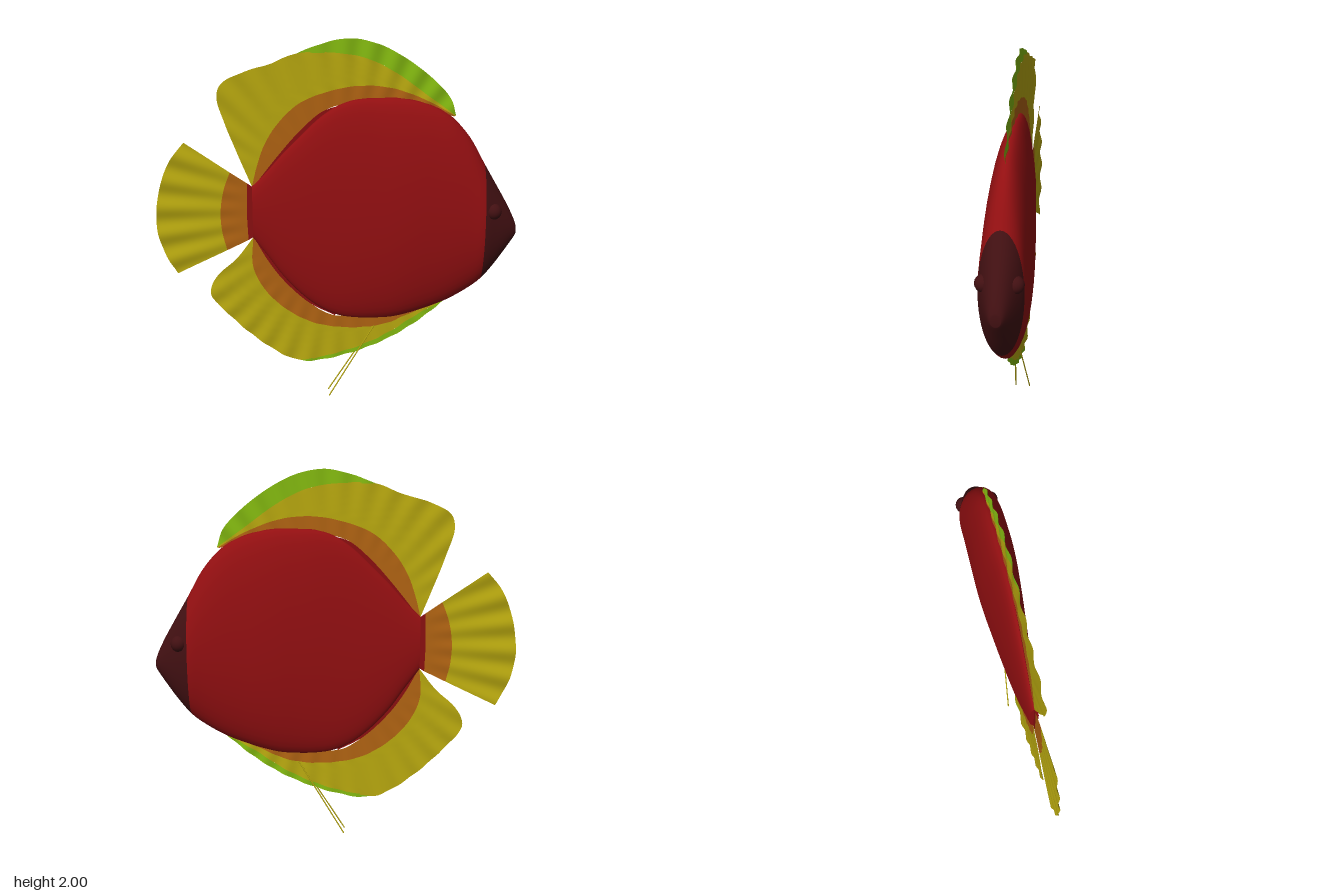
import * as THREE from 'three';

const flat = (name, color, side = THREE.FrontSide) => {
  const m = new THREE.MeshStandardMaterial({ color, side });
  m.name = name;
  return m;
};

// Body stations: x, top, bottom, half width
const STATIONS = [
  [-0.46, 1.225, 0.94, 0.026], [-0.38, 1.305, 0.83, 0.036], [-0.3, 1.395, 0.715, 0.045],
  [-0.2, 1.495, 0.605, 0.056], [-0.1, 1.59, 0.525, 0.066], [0, 1.655, 0.477, 0.077],
  [0.1, 1.685, 0.459, 0.089], [0.2, 1.69, 0.455, 0.1], [0.3, 1.69, 0.46, 0.11],
  [0.4, 1.675, 0.483, 0.115], [0.5, 1.643, 0.515, 0.115], [0.6, 1.583, 0.555, 0.115],
  [0.7, 1.47, 0.612, 0.114], [0.78, 1.33, 0.672, 0.112], [0.85, 1.21, 0.755, 0.088],
  [0.91, 1.105, 0.84, 0.062], [0.95, 1.025, 0.9, 0.04], [0.965, 0.985, 0.925, 0.026],
];
const HEAD_STATION = 13;

// Smooth loft of elliptical sections, closed at both ends; the head is a second material group
function bodyGeometry(sub = 4, around = 48) {
  const curve = (f) => new THREE.CatmullRomCurve3(STATIONS.map(f), false, 'catmullrom', 0.5);
  const outline = curve(([x, t, b]) => new THREE.Vector3(x, t, b));
  const width = curve(([x, , , w]) => new THREE.Vector3(x, w, 0));
  const steps = (STATIONS.length - 1) * sub;
  const rings = [];
  for (let i = 0; i <= steps; i++) {
    const p = outline.getPoint(i / steps);
    rings.push([p.x, (p.y + p.z) / 2, (p.y - p.z) / 2, width.getPoint(i / steps).y]);
  }
  const first = rings[0], last = rings[steps];
  rings.unshift([first[0], first[1], 0, 0], [...first]);
  rings.push([last[0], last[1], 0, 0]);

  const pos = [], index = [];
  for (const [x, y, h, w] of rings) {
    for (let j = 0; j < around; j++) {
      const a = (j / around) * Math.PI * 2;
      pos.push(x, y + h * Math.cos(a), w * Math.sin(a));
    }
  }
  for (let i = 0; i < rings.length - 1; i++) {
    for (let j = 0; j < around; j++) {
      const k = (j + 1) % around;
      const a = i * around + j, b = i * around + k;
      index.push(a, b, a + around, b, b + around, a + around);
    }
  }
  const g = new THREE.BufferGeometry();
  g.setAttribute('position', new THREE.Float32BufferAttribute(pos, 3));
  g.setIndex(index);
  g.computeVertexNormals();
  const split = (HEAD_STATION * sub + 2) * around * 6;
  g.addGroup(0, split, 0);
  g.addGroup(split, index.length - split, 1);
  return g;
}

// Gentle ray ripple, growing away from the body
function ripple(x, y) {
  const r = Math.hypot(x, y - 1.08);
  const a = Math.atan2(y - 1.08, -x);
  return 0.006 * THREE.MathUtils.clamp((r - 0.5) * 2.5, 0, 1) * Math.sin(a * 40);
}

// Membrane between two spline edges
function band(inner, outer, across = 5, along = 160) {
  const sample = (pts) =>
    new THREE.CatmullRomCurve3(pts.map(([x, y]) => new THREE.Vector3(x, y, 0))).getSpacedPoints(along);
  const a = sample(inner), b = sample(outer);
  const g = new THREE.PlaneGeometry(1, 1, along, across);
  const p = g.attributes.position;
  for (let i = 0; i < p.count; i++) {
    const c = i % (along + 1), v = 1 - Math.floor(i / (along + 1)) / across;
    const q = a[c].clone().lerp(b[c], v);
    p.setXYZ(i, q.x, q.y, ripple(q.x, q.y));
  }
  g.computeVertexNormals();
  return g;
}

export function createModel() {
  const red = flat('body red', 0x930f11);
  const dark = flat('head maroon', 0x421012);
  const finRed = flat('fin base red', 0x8a0f10, THREE.DoubleSide);
  const orange = flat('fin orange', 0xb06312, THREE.DoubleSide);
  const yellow = flat('fin yellow', 0xb8a80f, THREE.DoubleSide);
  const green = flat('fin green', 0x84ba10, THREE.DoubleSide);

  const model = new THREE.Group();
  model.name = 'fish';
  const add = (parent, name, geo, mat) => {
    const m = new THREE.Mesh(geo, mat);
    m.name = name;
    parent.add(m);
    return m;
  };
  const fin = (name, bands) => {
    const g = new THREE.Group();
    g.name = name;
    bands.forEach(([label, inner, outer, mat]) => add(g, label, band(inner, outer), mat));
    model.add(g);
  };

  add(model, 'bodyAndHead', bodyGeometry(), [red, dark]);

  // Eyes
  for (const s of [1, -1]) {
    const eye = add(model, s > 0 ? 'frontEye' : 'backEye', new THREE.SphereGeometry(0.045, 24, 16), dark);
    eye.position.set(0.825, 1.08, s * 0.074);
  }

  // Dorsal fin, each edge running from tail to head
  const dRoot = [[-0.44, 1.19], [-0.28, 1.36], [-0.1, 1.53], [0.1, 1.63], [0.3, 1.64], [0.48, 1.62], [0.61, 1.585]];
  const dRed = [[-0.455, 1.22], [-0.32, 1.39], [-0.2, 1.525], [-0.08, 1.625], [0.04, 1.66]];
  const dOrange = [[-0.46, 1.225], [-0.43, 1.34], [-0.39, 1.45], [-0.32, 1.56], [-0.2, 1.67], [0, 1.74],
    [0.15, 1.755], [0.3, 1.735], [0.48, 1.665], [0.615, 1.588]];
  const dYellow = [[-0.46, 1.225], [-0.53, 1.4], [-0.59, 1.56], [-0.63, 1.7], [-0.61, 1.77], [-0.5, 1.83],
    [-0.35, 1.875], [-0.22, 1.925], [0, 1.925], [0.15, 1.895], [0.3, 1.82], [0.48, 1.69], [0.62, 1.59]];
  const dGreen = [[-0.22, 1.925], [-0.1, 1.97], [0.05, 2.0], [0.2, 1.972], [0.35, 1.895], [0.5, 1.78],
    [0.59, 1.68], [0.62, 1.59]];
  fin('dorsalFin', [
    ['dorsalBase', dRoot.slice(0, 4), dRed, finRed],
    ['dorsalInnerBand', [...dRed, ...dRoot.slice(4)], dOrange, orange],
    ['dorsalMembrane', dOrange, dYellow, yellow],
    ['dorsalTip', dYellow.slice(7), dGreen, green],
  ]);

  // Anal fin
  const aRoot = [[-0.44, 0.97], [-0.3, 0.78], [-0.14, 0.6], [0, 0.53], [0.2, 0.5], [0.4, 0.52], [0.58, 0.57]];
  const aRed = [[-0.455, 0.94], [-0.385, 0.81], [-0.3, 0.69], [-0.16, 0.553], [-0.02, 0.475]];
  const aOrange = [[-0.46, 0.94], [-0.465, 0.78], [-0.41, 0.65], [-0.3, 0.53], [-0.15, 0.44], [0, 0.405],
    [0.15, 0.4], [0.27, 0.42], [0.4, 0.475], [0.59, 0.56]];
  const aYellow = [[-0.46, 0.94], [-0.55, 0.825], [-0.65, 0.735], [-0.69, 0.67], [-0.695, 0.615], [-0.6, 0.495],
    [-0.45, 0.35], [-0.3, 0.243], [-0.21, 0.21], [0, 0.25], [0.15, 0.3], [0.3, 0.375], [0.42, 0.455], [0.6, 0.557]];
  const aGreen = [[-0.21, 0.21], [-0.15, 0.203], [0, 0.228], [0.15, 0.273], [0.3, 0.34], [0.45, 0.435], [0.6, 0.557]];
  fin('analFin', [
    ['analBase', aRoot.slice(0, 4), aRed, finRed],
    ['analInnerBand', [...aRed, ...aRoot.slice(4)], aOrange, orange],
    ['analMembrane', aOrange, aYellow, yellow],
    ['analTip', aYellow.slice(8), aGreen, green],
  ]);

  // Tail fin
  const tRoot = [[-0.44, 1.21], [-0.44, 1.08], [-0.44, 0.955]];
  const tRed = [[-0.485, 1.243], [-0.49, 1.08], [-0.485, 0.927]];
  const tOrange = [[-0.575, 1.305], [-0.612, 1.2], [-0.63, 1.08], [-0.623, 0.97], [-0.6, 0.872]];
  const tYellow = [[-0.81, 1.468], [-0.885, 1.375], [-0.935, 1.26], [-0.965, 1.12], [-0.968, 1.0],
    [-0.935, 0.87], [-0.87, 0.745]];
  fin('tailFin', [
    ['tailBase', tRoot, tRed, finRed],
    ['tailInnerBand', tRed, tOrange, orange],
    ['tailMembrane', tOrange, tYellow, yellow],
  ]);

  // Trailing thread-like pelvic fins
  for (const s of [1, -1]) {
    const path = new THREE.LineCurve3(new THREE.Vector3(0.195, 0.41, s * 0.01), new THREE.Vector3(-0.056, 0.004, s * 0.04));
    add(model, s > 0 ? 'frontPelvicFin' : 'backPelvicFin', new THREE.TubeGeometry(path, 1, 0.0035, 6), yellow);
  }
  return model;
}
